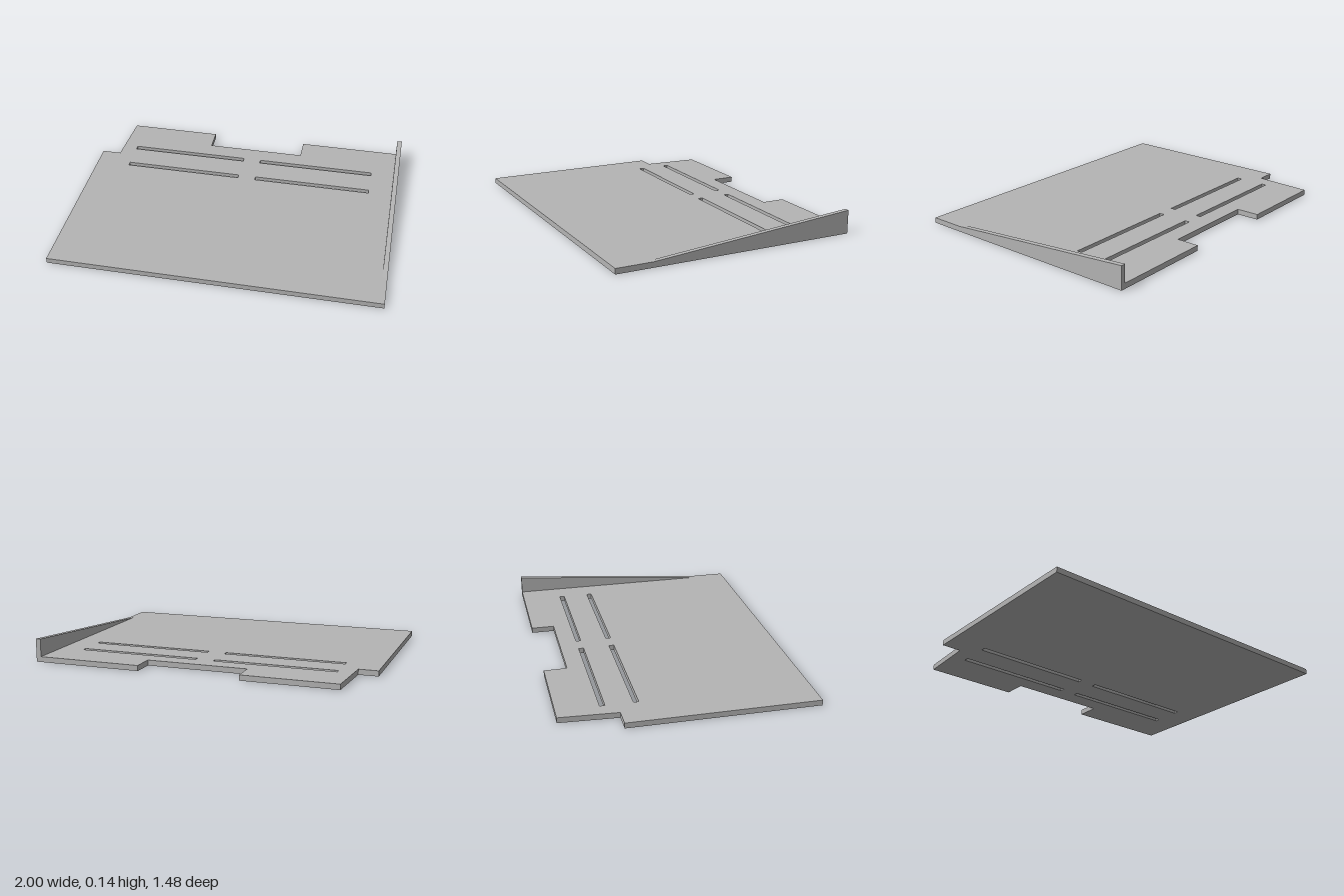
import * as THREE from 'three';

const THICKNESS = 0.033;

// Closed polygon from [x, y] pairs
const polygon = (points, Type = THREE.Shape) =>
  new Type(points.map(([x, y]) => new THREE.Vector2(x, y)));

export function createModel() {
  const model = new THREE.Group();
  model.name = 'slottedTray';
  const grey = new THREE.MeshStandardMaterial({ color: 0xb4b4b4 });
  grey.name = 'grey';

  // Flat plate with notched back edge, drawn in x and -z
  const outline = polygon([
    [-1, -0.74], [1, -0.74], [1, 0.74], [0.333, 0.74], [0.333, 0.6],
    [-0.287, 0.6], [-0.287, 0.74], [-0.862, 0.74], [-0.882, 0.392], [-1, 0.392],
  ]);

  // Two rows of two long slots
  for (const x of [-0.785, 0.075]) {
    for (const y of [0.268, 0.46]) {
      outline.holes.push(polygon(
        [[x, y], [x, y + 0.031], [x + 0.748, y + 0.031], [x + 0.748, y]], THREE.Path));
    }
  }
  const plateGeometry = new THREE.ExtrudeGeometry(outline, { depth: THICKNESS, bevelEnabled: false });
  plateGeometry.rotateX(-Math.PI / 2);
  const plate = new THREE.Mesh(plateGeometry, grey);
  plate.name = 'plate';
  model.add(plate);

  // Wedge-shaped side wall rising toward the back, drawn in z and y
  const wedge = polygon([[-0.74, THICKNESS], [0.52, THICKNESS], [-0.74, 0.141]]);
  const wallGeometry = new THREE.ExtrudeGeometry(wedge, { depth: 0.03, bevelEnabled: false });
  wallGeometry.rotateY(-Math.PI / 2).translate(1, 0, 0);
  const wall = new THREE.Mesh(wallGeometry, grey);
  wall.name = 'leftSideWall';
  model.add(wall);

  return model;
}
